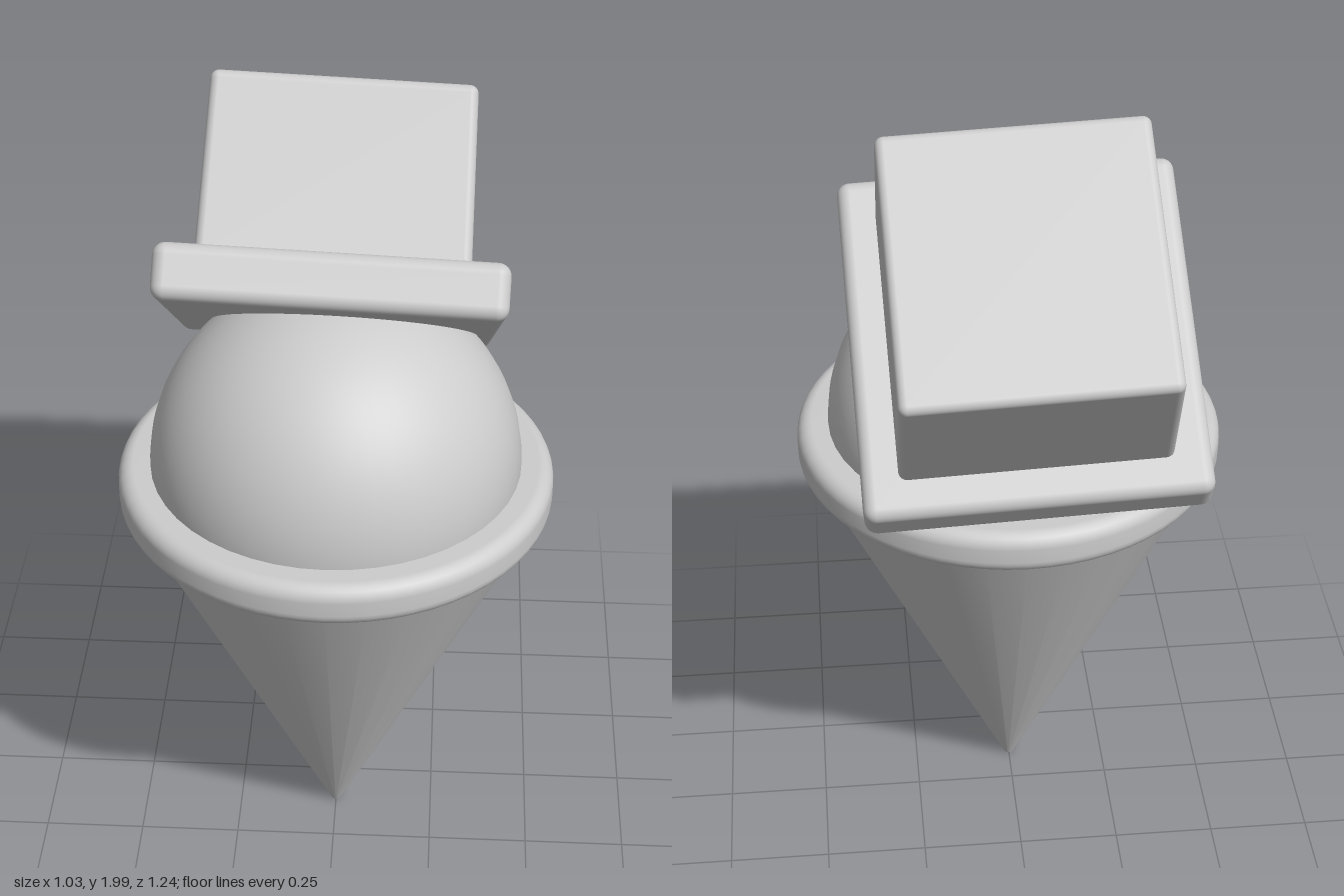
import * as THREE from 'three';
import { RoundedBoxGeometry } from 'three/addons/geometries/RoundedBoxGeometry.js';

export function createModel() {
  const model = new THREE.Group();
  const grey = new THREE.MeshStandardMaterial({ color: 0xcccccc });
  grey.name = 'light grey';

  const add = (parent, name, geometry, x, y, z) => {
    const mesh = new THREE.Mesh(geometry, grey);
    mesh.name = name;
    mesh.position.set(x, y, z);
    parent.add(mesh);
    return mesh;
  };

  // Cone, rim and scoop share one upright axis
  const treat = new THREE.Group();
  treat.name = 'iceCream';
  treat.position.z = 0.107;
  model.add(treat);

  add(treat, 'cone', new THREE.CylinderGeometry(0.485, 0.012, 1.01, 32), 0, 0.505, 0);

  // Rim: a thick disc with rounded outer edges
  const R = 0.517, H = 0.107, r = 0.036;
  const profile = [new THREE.Vector2(0.3, 0)];
  for (const [cy, start] of [[r, -Math.PI / 2], [H - r, 0]]) {
    for (let i = 0; i <= 6; i++) {
      const a = start + (i / 6) * Math.PI / 2;
      profile.push(new THREE.Vector2(R - r + r * Math.cos(a), cy + r * Math.sin(a)));
    }
  }
  profile.push(new THREE.Vector2(0.3, H));
  add(treat, 'rim', new THREE.LatheGeometry(profile, 64), 0, 0.998, 0);

  // Scoop: upper half of a ball
  add(treat, 'scoop', new THREE.SphereGeometry(0.44, 48, 24, 0, Math.PI * 2, 0, Math.PI / 2), 0, 1.105, 0);

  // Square hat, tipped backwards and slightly to its left
  const hat = new THREE.Group();
  hat.name = 'hat';
  hat.position.set(-0.015, 1.425, -0.085);
  hat.rotation.set(-0.637, 0, -0.042, 'ZXY');
  model.add(hat);

  add(hat, 'brim', new RoundedBoxGeometry(0.79, 0.13, 0.83, 4, 0.03), 0, 0, 0);

  // Crown narrows a little towards the top
  const height = 0.43;
  const crown = new RoundedBoxGeometry(0.61, height, 0.65, 4, 0.02);
  const p = crown.attributes.position;
  for (let i = 0; i < p.count; i++) {
    const s = 1 - 0.035 * (p.getY(i) / height);
    p.setX(i, p.getX(i) * s);
    p.setZ(i, p.getZ(i) * s);
  }
  add(hat, 'crown', crown, 0, 0.467 - height / 2, 0);

  return model;
}
